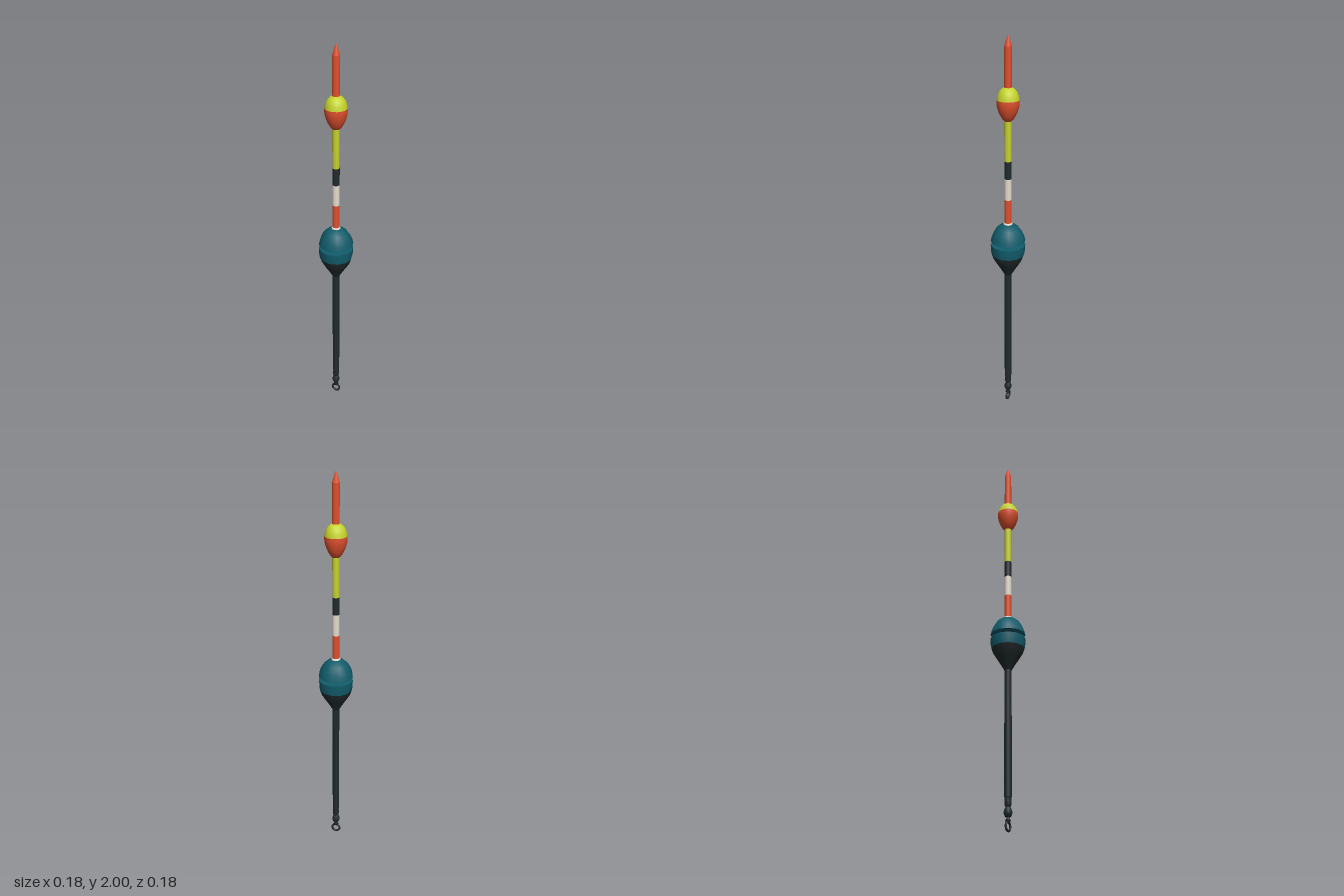
import * as THREE from 'three';

export function createModel() {
  const group = new THREE.Group();
  group.name = 'fishingFloat';

  const paint = (name, color) => {
    const m = new THREE.MeshStandardMaterial({ color });
    m.name = name;
    return m;
  };
  const red = paint('orangeRed', 0xe0502e);
  const yellow = paint('limeYellow', 0xc6d42e);
  const white = paint('offWhite', 0xe6decf);
  const teal = paint('teal', 0x115c6b);
  const dark = paint('charcoal', 0x222b2d);

  const add = (name, geometry, material) => {
    const mesh = new THREE.Mesh(geometry, material);
    mesh.name = name;
    group.add(mesh);
    return mesh;
  };
  // Turned part: profile of [radius, height] points, listed from bottom to top
  const turn = (name, material, points, sides = 12) =>
    add(name, new THREE.LatheGeometry(points.map(([r, y]) => new THREE.Vector2(r, y)), sides), material);
  const band = (name, material, r, y0, y1) => turn(name, material, [[r, y0], [r, y1]]);

  // Stem, in painted bands from the bottom up
  const R = 0.018;
  band('lowerStem', dark, R, 0.16, 0.8);
  band('redBand', red, R, 1.07, 1.2);
  band('whiteBand', white, R, 1.2, 1.31);
  band('darkBand', dark, R, 1.31, 1.4);
  band('yellowBand', yellow, R, 1.4, 1.61);
  band('antenna', red, R, 1.75, 1.95);
  turn('antennaTip', red, [[R, 1.95], [0.011, 1.972], [0.004, 1.994], [0, 2]]);

  // Upper bulb
  turn('bulbBase', red, [
    [R, 1.6], [0.027, 1.609], [0.038, 1.627], [0.047, 1.648],
    [0.053, 1.67], [0.055, 1.688], [0.0545, 1.702],
  ], 24);
  turn('bulbCap', yellow, [
    [0.0545, 1.702], [0.051, 1.721], [0.044, 1.738], [0.034, 1.751], [0.022, 1.759], [0.012, 1.762],
  ], 24);

  // Main body: dark cone, teal belt, open groove and teal dome
  turn('bodyCone', dark, [
    [R, 0.785], [0.028, 0.802], [0.042, 0.825], [0.059, 0.851], [0.074, 0.876], [0.083, 0.902],
  ]);
  turn('bodyBelt', teal, [[0.083, 0.902], [0.087, 0.925], [0.088, 0.957]]);
  turn('grooveFloor', teal, [[0.088, 0.957], [0.03, 0.96]]);
  band('grooveCore', teal, 0.03, 0.955, 0.975);
  turn('grooveRoof', teal, [[0.03, 0.966], [0.088, 0.977]]);
  turn('bodyDome', teal, [
    [0.088, 0.977], [0.083, 1.0], [0.073, 1.024], [0.059, 1.045], [0.042, 1.06], [0.024, 1.068], [0.012, 1.07],
  ]);

  // Collar above the body
  turn('collar', white, [[0.023, 1.064], [0.023, 1.074], [0.017, 1.077]]);

  // Stem end with beaded swivel
  turn('stemEnd', dark, [[0.011, 0.112], [0.016, 0.122], [0.017, 0.14], [0.015, 0.152], [R, 0.162]]);
  turn('swivelBead', dark, [
    [0, 0.064], [0.013, 0.068], [0.019, 0.08], [0.02, 0.092], [0.016, 0.105], [0.011, 0.113],
  ]);
  turn('swivelNeck', dark, [[0, 0.048], [0.014, 0.05], [0.008, 0.06], [0.007, 0.07]]);

  // Line ring at the foot
  add('lineRing', new THREE.TorusGeometry(0.0205, 0.0055, 8, 24), dark).position.y = 0.026;

  return group;
}
